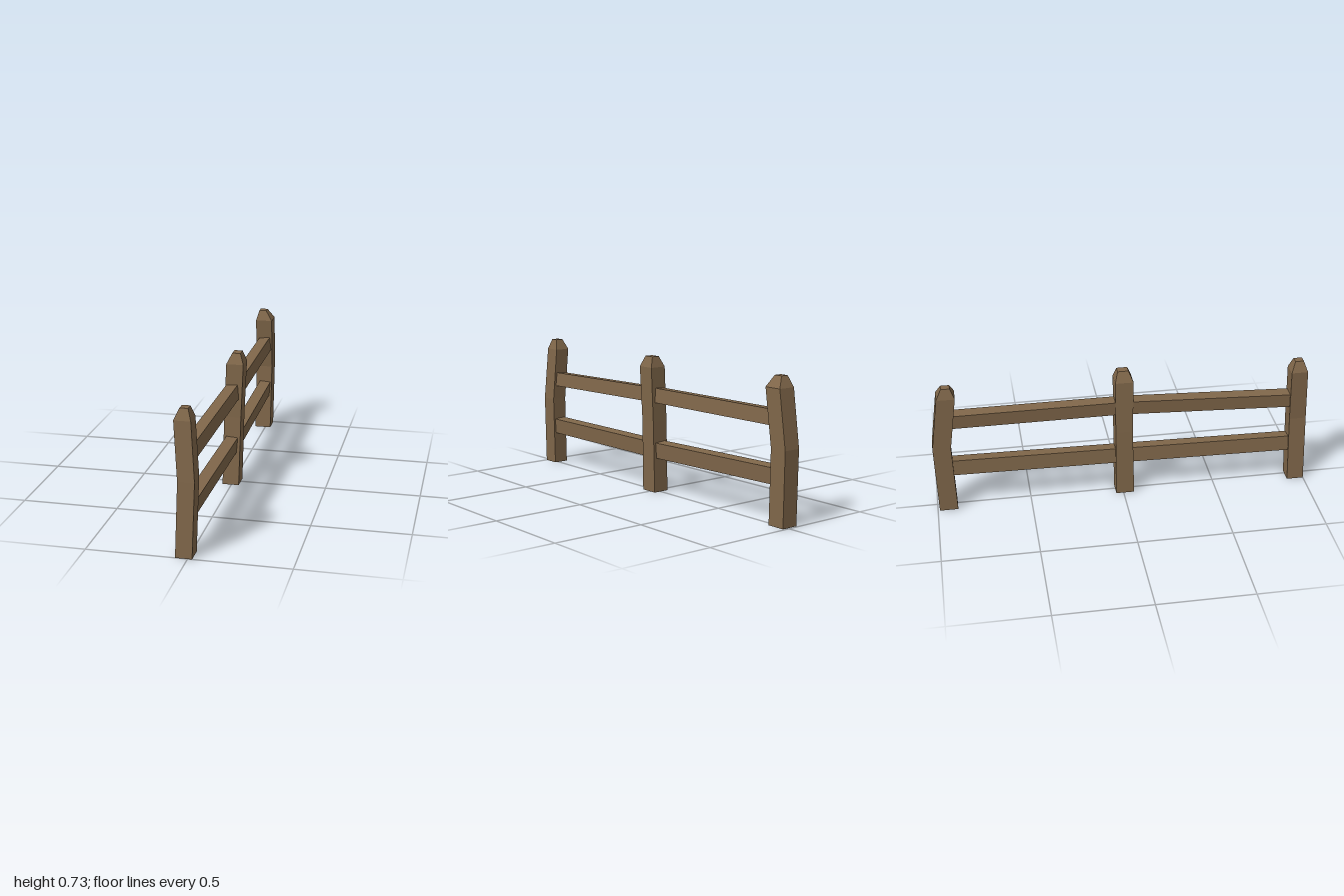
import * as THREE from 'three';

const wood = new THREE.MeshStandardMaterial({ color: 0x80674a, flatShading: true });

// Skin a stack of four-cornered rings (counter-clockwise seen from the last ring) and close both ends.
function loft(name, rings) {
  const pos = [];
  const quad = (a, b, c, d) => [a, b, c, a, c, d].forEach((p) => pos.push(...p));
  for (let r = 0; r < rings.length - 1; r++) {
    for (let i = 0; i < 4; i++) {
      const j = (i + 1) % 4;
      quad(rings[r][i], rings[r][j], rings[r + 1][j], rings[r + 1][i]);
    }
  }
  const [a, b, c, d] = rings[0];
  quad(d, c, b, a);
  quad(...rings[rings.length - 1]);
  const geometry = new THREE.BufferGeometry();
  geometry.setAttribute('position', new THREE.Float32BufferAttribute(pos, 3));
  geometry.computeVertexNormals();
  const mesh = new THREE.Mesh(geometry, wood);
  mesh.name = name;
  return mesh;
}

// Post: one [xMin, xMax, zMin, zMax] section at the foot, the bend, the shoulder and the tip.
const postHeights = [0, 0.38, 0.67, 0.725];
function post(name, sections) {
  return loft(name, sections.map(([x0, x1, z0, z1], i) => {
    const y = postHeights[i];
    return [[x0, y, z1], [x1, y, z1], [x1, y, z0], [x0, y, z0]];
  }));
}

// Rail: [z, centre x, centre y] stations running back to front, rolled about its length.
function rail(name, width, height, roll, stations) {
  const c = Math.cos(roll), s = Math.sin(roll);
  return loft(name, stations.map(([z, cx, cy]) =>
    [[-1, -1], [1, -1], [1, 1], [-1, 1]].map(([u, v]) => {
      const x = u * width / 2, y = v * height / 2;
      return [cx + x * c - y * s, cy + x * s + y * c, z];
    })));
}

export function createModel() {
  const fence = new THREE.Group();
  fence.name = 'fence';

  // Crooked posts with chamfered tips
  fence.add(
    post('frontPost', [
      [-0.06, 0.022, 0.91, 1.0],
      [-0.047, 0.035, 0.9, 0.99],
      [-0.065, 0.017, 0.888, 0.975],
      [-0.04, 0.0, 0.91, 0.955],
    ]),
    post('middlePost', [
      [-0.048, 0.04, -0.04, 0.057],
      [-0.04, 0.05, -0.041, 0.05],
      [-0.027, 0.063, -0.041, 0.055],
      [0.0, 0.043, -0.025, 0.032],
    ]),
    post('backPost', [
      [-0.06, 0.03, -0.99, -0.893],
      [-0.057, 0.035, -1.0, -0.905],
      [-0.055, 0.038, -0.96, -0.865],
      [-0.04, 0.0, -0.932, -0.887],
    ]),
  );

  // Rails kinked at the middle post
  fence.add(
    rail('upperRail', 0.062, 0.077, 0.08, [
      [-0.91, -0.004, 0.524], [0, 0.006, 0.52], [0.93, -0.016, 0.494],
    ]),
    rail('lowerRail', 0.062, 0.084, -0.08, [
      [-0.93, -0.008, 0.245], [0, 0.0, 0.228], [0.94, -0.012, 0.222],
    ]),
  );
  return fence;
}
